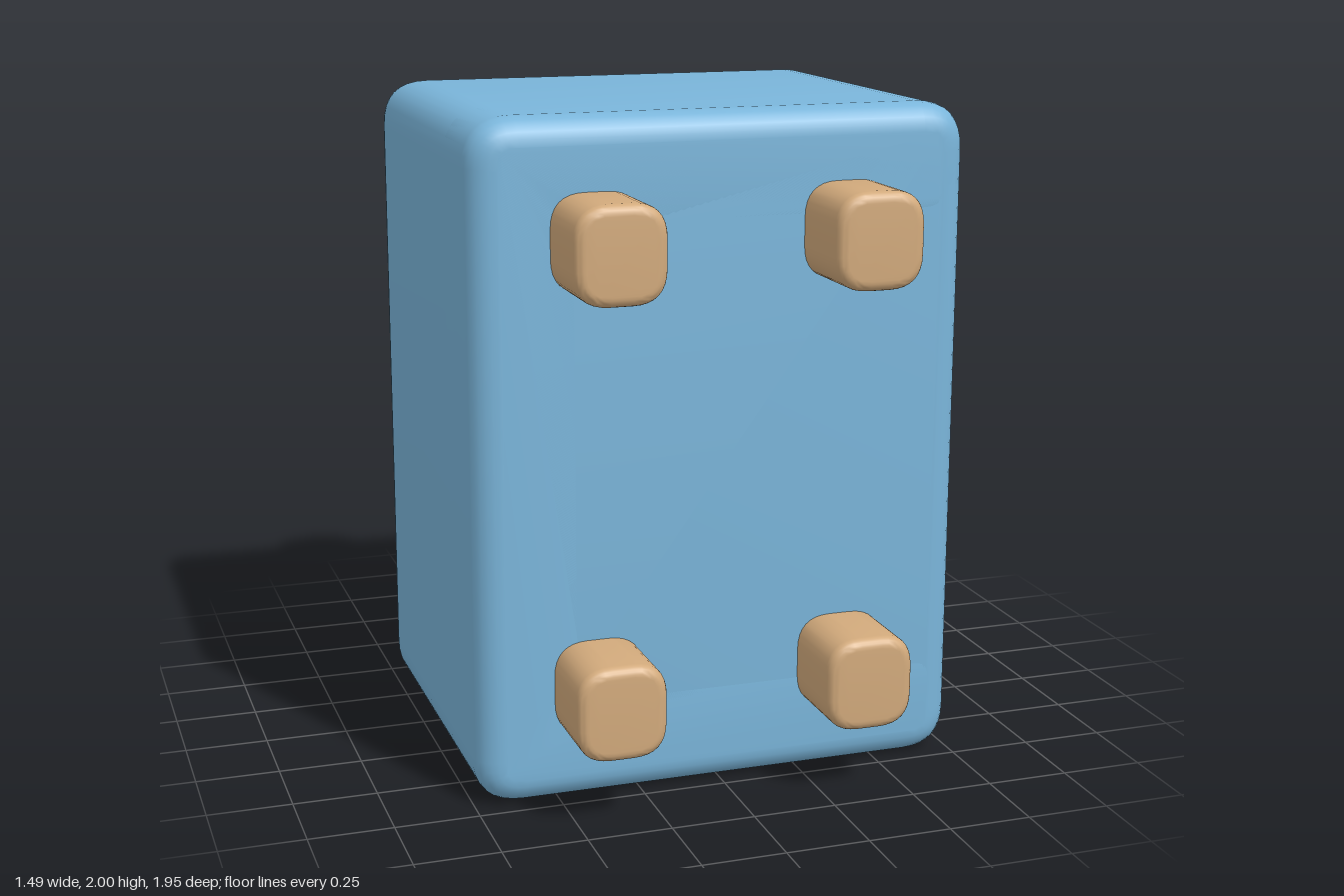
import * as THREE from 'three';
import { RoundedBoxGeometry } from 'three/addons/geometries/RoundedBoxGeometry.js';
import { mergeVertices, toCreasedNormals } from 'three/addons/utils/BufferGeometryUtils.js';

const blue = new THREE.MeshStandardMaterial({ color: 0x7ab5da });
const wood = new THREE.MeshStandardMaterial({ color: 0xd2aa7c });
const green = new THREE.MeshStandardMaterial({ color: 0xb6de90 });

// Closed outline with every corner rounded off by r
function roundedOutline(points, r) {
  const shape = new THREE.Shape();
  const pts = points.map(([x, y]) => new THREE.Vector2(x, y));
  pts.forEach((p, i) => {
    const prev = pts[(i + pts.length - 1) % pts.length];
    const next = pts[(i + 1) % pts.length];
    const a = prev.clone().sub(p).setLength(r).add(p);
    const b = next.clone().sub(p).setLength(r).add(p);
    if (i === 0) shape.moveTo(a.x, a.y);
    else shape.lineTo(a.x, a.y);
    shape.quadraticCurveTo(p.x, p.y, b.x, b.y);
  });
  shape.closePath();
  return shape;
}

// Soft-edged block running from z0 to z1
function softExtrude(points, r, bevel, z0, z1) {
  const geo = new THREE.ExtrudeGeometry(roundedOutline(points, r), {
    depth: z1 - z0 - 2 * bevel,
    bevelThickness: bevel, bevelSize: bevel, bevelOffset: -bevel,
    bevelSegments: 6, curveSegments: 8,
  });
  geo.translate(0, 0, z0 + bevel);
  return toCreasedNormals(geo, 0.7);
}

const rect = (x0, x1, y0, y1) => [[x0, y0], [x1, y0], [x1, y1], [x0, y1]];

// Plump pillow, thickness along z: squareness a in the face, e across the thickness
function pillow(w, h, t, a, e) {
  const geo = new THREE.BoxGeometry(2, 2, 2, 24, 24, 24);
  geo.deleteAttribute('uv');
  geo.deleteAttribute('normal');
  const pos = geo.attributes.position;
  const v = new THREE.Vector3();
  for (let i = 0; i < pos.count; i++) {
    v.fromBufferAttribute(pos, i);
    const face = Math.pow(Math.abs(v.x) ** a + Math.abs(v.y) ** a, e / a);
    v.divideScalar(Math.pow(face + Math.abs(v.z) ** e, 1 / e));
    pos.setXYZ(i, v.x * w / 2, v.y * h / 2, v.z * t / 2);
  }
  const merged = mergeVertices(geo);
  merged.computeVertexNormals();
  return merged;
}

export function createModel() {
  const model = new THREE.Group();
  const add = (name, geo, mat) => {
    const mesh = new THREE.Mesh(geo, mat);
    mesh.name = name;
    model.add(mesh);
    return mesh;
  };

  // Armchair resting on one arm: legs point to +z, the seat opens to +x
  const armsAndBack = [
    [-0.745, 0], [0.745, 0], [0.745, 0.38], [-0.37, 0.38],
    [-0.37, 1.62], [0.745, 1.62], [0.745, 2], [-0.745, 2],
  ];
  add('armsAndBack', softExtrude(armsAndBack, 0.14, 0.08, -0.47, 0.73), blue);
  add('base', softExtrude(rect(-0.745, 0.745, 0, 2), 0.14, 0.08, 0.35, 0.73), blue);

  // Seat cushion
  const seat = add('seatCushion', new RoundedBoxGeometry(1.15, 1.23, 0.37, 6, 0.1), blue);
  seat.position.set(0.16, 1, 0.165);

  // Leaning back cushion
  const backGeo = pillow(1.04, 1.12, 0.5, 6, 2.7).rotateY(Math.PI / 2);
  const back = add('backCushion', backGeo, blue);
  back.position.set(-0.2, 1.01, -0.46);
  back.rotation.y = 0.27;

  // Small loose pillow propped against an arm
  const small = add('throwPillow', pillow(0.5, 0.5, 0.2, 4, 2.3), green);
  small.position.set(0.36, 1.365, -0.17);
  small.rotation.set(-0.3, 0, 0.72);

  // Four legs
  for (const x of [-0.385, 0.367])
    for (const y of [0.35, 1.65])
      add('leg', softExtrude(rect(x - 0.132, x + 0.132, y - 0.14, y + 0.14), 0.1, 0.03, 0.6, 0.98), wood);

  return model;
}
